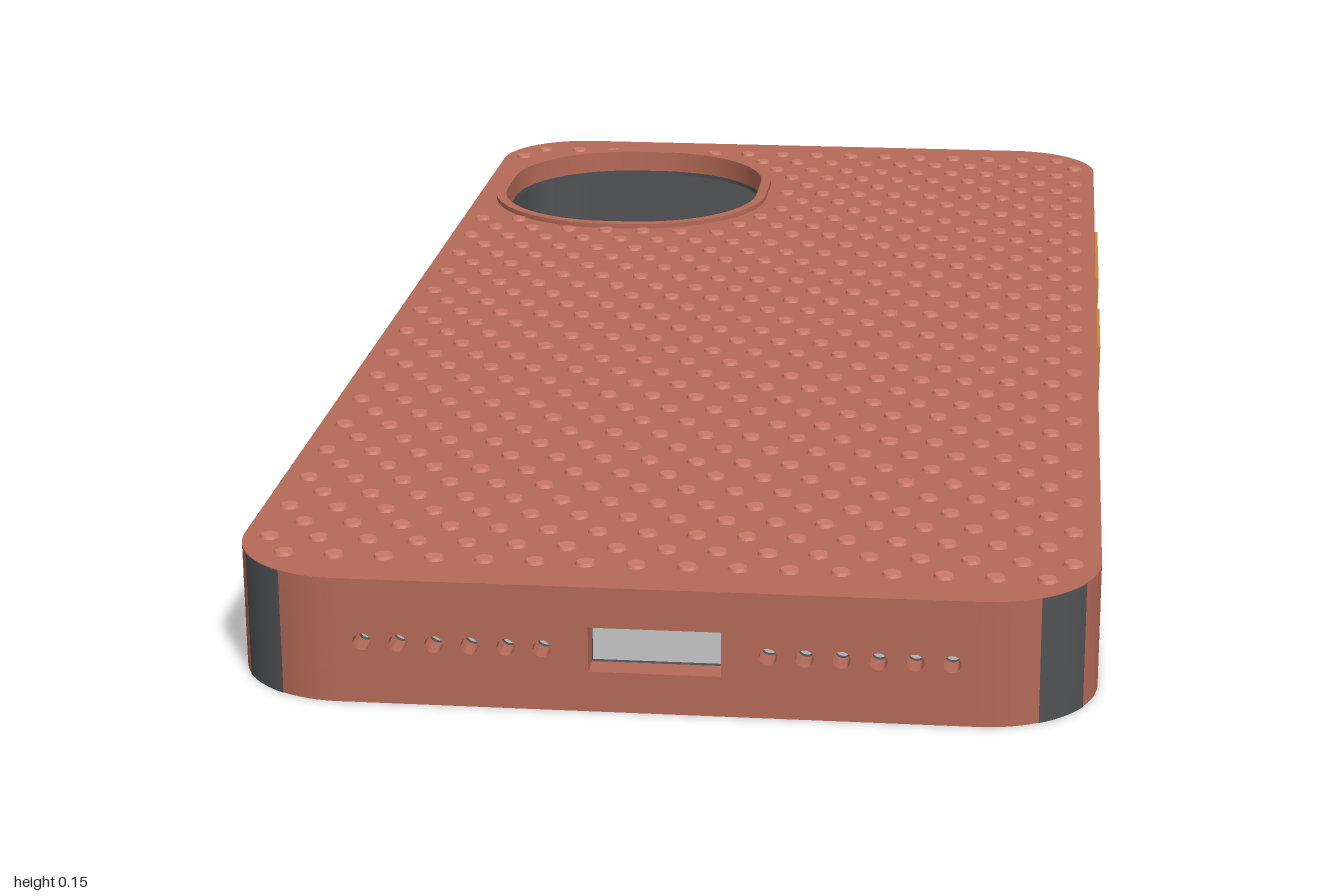
import * as THREE from 'three';
import { mergeGeometries, toCreasedNormals } from 'three/addons/utils/BufferGeometryUtils.js';

const W = 0.483, L = 1, R = 0.13;          // half width, half length, corner radius
const CX = W - R, CZ = L - R;              // corner centres
const H = 0.146, PLATE = 0.025, WALL = 0.03, LINER = 0.036, LIP = 0.04;
const CAM = { x: -0.2425, z: -0.6875, w: 0.1975, l: 0.2175, r: 0.18 };

const mat = (color) => new THREE.MeshStandardMaterial({ color, roughness: 0.8 });

// Rounded rectangle lying in x and z
function roundRect(Type, x, z, w, l, r) {
  const p = new Type(), a = w - r, b = l - r, q = Math.PI / 2;
  [[1, 1], [-1, 1], [-1, -1], [1, -1]].forEach(([sx, sz], i) =>
    p.absarc(x + sx * a, z + sz * b, r, i * q, (i + 1) * q, false));
  p.closePath();
  return p;
}
const outline = (Type, inset) => roundRect(Type, 0, 0, W - inset, L - inset, R - inset);
const cameraOutline = (Type, grow) =>
  roundRect(Type, CAM.x, CAM.z, CAM.w + grow, CAM.l + grow, CAM.r + grow);

const extrude = (shape, depth) => new THREE.ExtrudeGeometry(shape,
  { depth, bevelEnabled: false, curveSegments: 12 });

// Flat slab with an outline in x and z, between two heights
function slab(shape, y0, y1) {
  const g = extrude(shape, y1 - y0).rotateX(Math.PI / 2).translate(0, y1, 0);
  return toCreasedNormals(g, 0.6);
}

// Back, side and corner walls, open along the straight front
function wallBand(outer, inner) {
  const s = new THREE.Shape(), q = Math.PI / 2, a = R - outer, b = R - inner;
  s.moveTo(CX, CZ + a);
  s.absarc(CX, CZ, a, q, 0, true);
  s.absarc(CX, -CZ, a, 0, -q, true);
  s.absarc(-CX, -CZ, a, -q, -2 * q, true);
  s.absarc(-CX, CZ, a, 2 * q, q, true);
  s.absarc(-CX, CZ, b, q, 2 * q, false);
  s.absarc(-CX, -CZ, b, 2 * q, 3 * q, false);
  s.absarc(CX, -CZ, b, -q, 0, false);
  s.absarc(CX, CZ, b, 0, q, false);
  s.closePath();
  return s;
}

// Straight front wall with the charging port and speaker holes
function frontPanel(y0, y1, outer, inner) {
  const s = new THREE.Shape();
  s.moveTo(-CX, y0).lineTo(CX, y0).lineTo(CX, y1).lineTo(-CX, y1).closePath();
  const port = new THREE.Path();
  port.moveTo(-0.073, 0.047).lineTo(-0.073, 0.099).lineTo(0.073, 0.099).lineTo(0.073, 0.047).closePath();
  s.holes.push(port);
  for (const side of [-1, 1]) for (let i = 0; i < 6; i++) {
    const hole = new THREE.Path();
    hole.absarc(side * (0.124 + i * 0.04), 0.072, 0.01, 0, Math.PI * 2, true);
    s.holes.push(hole);
  }
  return toCreasedNormals(extrude(s, inner - outer).translate(0, 0, L - inner), 0.6);
}

// Signed distance to a rounded rectangle
function distance(x, z, w, l, r) {
  const dx = Math.abs(x) - w + r, dz = Math.abs(z) - l + r;
  return Math.hypot(Math.max(dx, 0), Math.max(dz, 0)) + Math.min(Math.max(dx, dz), 0) - r;
}

export function createModel() {
  const model = new THREE.Group();
  const rust = mat(0xb56a58), dark = mat(0x505254), orange = mat(0xce8435), light = mat(0xc97867);
  const add = (name, geometry, material, parent = model) => {
    const m = new THREE.Mesh(geometry, material);
    m.name = name;
    parent.add(m);
    return m;
  };
  const top = H - PLATE;

  // Outer shell
  const plate = outline(THREE.Shape, 0);
  plate.holes.push(cameraOutline(THREE.Path, 0));
  add('backPlate', slab(plate, top, H), rust);
  add('sideWalls', slab(wallBand(0, WALL), 0, top), rust);
  add('frontWall', frontPanel(0, top, 0, WALL), rust);

  // Soft inner lining
  const liningPlate = outline(THREE.Shape, WALL);
  liningPlate.holes.push(cameraOutline(THREE.Path, 0));
  add('liningPlate', slab(liningPlate, top - 0.006, top), dark);
  add('liningWalls', slab(wallBand(WALL, LINER), 0.012, top - 0.006), dark);
  add('liningFront', frontPanel(0.012, top - 0.006, WALL, LINER), dark);

  // Retaining lip around the opening
  const lip = outline(THREE.Shape, WALL);
  lip.holes.push(outline(THREE.Path, LIP));
  add('retainingLip', slab(lip, 0, 0.012), rust);

  // Raised ring around the camera opening
  const ring = cameraOutline(THREE.Shape, 0.015);
  ring.holes.push(cameraOutline(THREE.Path, 0));
  add('cameraRing', slab(ring, H, 0.153), rust);

  // Dark strips on the four corners
  for (let k = 0; k < 4; k++) {
    const a = (k + 0.5) * Math.PI / 2;
    const strip = new THREE.CylinderGeometry(R + 0.001, R + 0.001, H, 8, 1, true,
      k * Math.PI / 2 + Math.PI / 6, Math.PI / 6);
    add('cornerStrip', strip, dark).position.set(
      Math.sign(Math.sin(a)) * CX, H / 2, Math.sign(Math.cos(a)) * CZ);
  }

  // Side buttons with pads on the inside of the wall
  const buttons = [[1, -0.6, -0.337], [1, -0.187, -0.005], [-1, -0.68, -0.5], [-1, -0.468, -0.29]];
  for (const [side, z0, z1] of buttons) {
    const button = new THREE.Group();
    button.name = 'sideButton';
    button.position.set(0, 0.076, (z0 + z1) / 2);
    add('buttonCap', new THREE.BoxGeometry(0.01, 0.088, z1 - z0), orange, button)
      .position.x = side * (W + 0.0005);
    add('buttonPad', new THREE.BoxGeometry(0.02, 0.08, z1 - z0 - 0.006), rust, button)
      .position.x = side * (W - 0.031);
    model.add(button);
  }

  // Staggered grip studs over the back
  const studs = [], stepX = 0.0565, stepZ = 0.049;
  for (let row = -19; row <= 19; row++) for (let col = -8; col <= 8; col++) {
    const x = (col + (row % 2 ? 0.5 : 0)) * stepX, z = row * stepZ;
    if (distance(x, z, W, L, R) > -0.025) continue;
    if (distance(x - CAM.x, z - CAM.z, CAM.w, CAM.l, CAM.r) < 0.028) continue;
    studs.push(new THREE.CylinderGeometry(0.01, 0.012, 0.004, 12).translate(x, H + 0.0015, z));
  }
  add('gripStuds', mergeGeometries(studs), light);

  return model;
}
